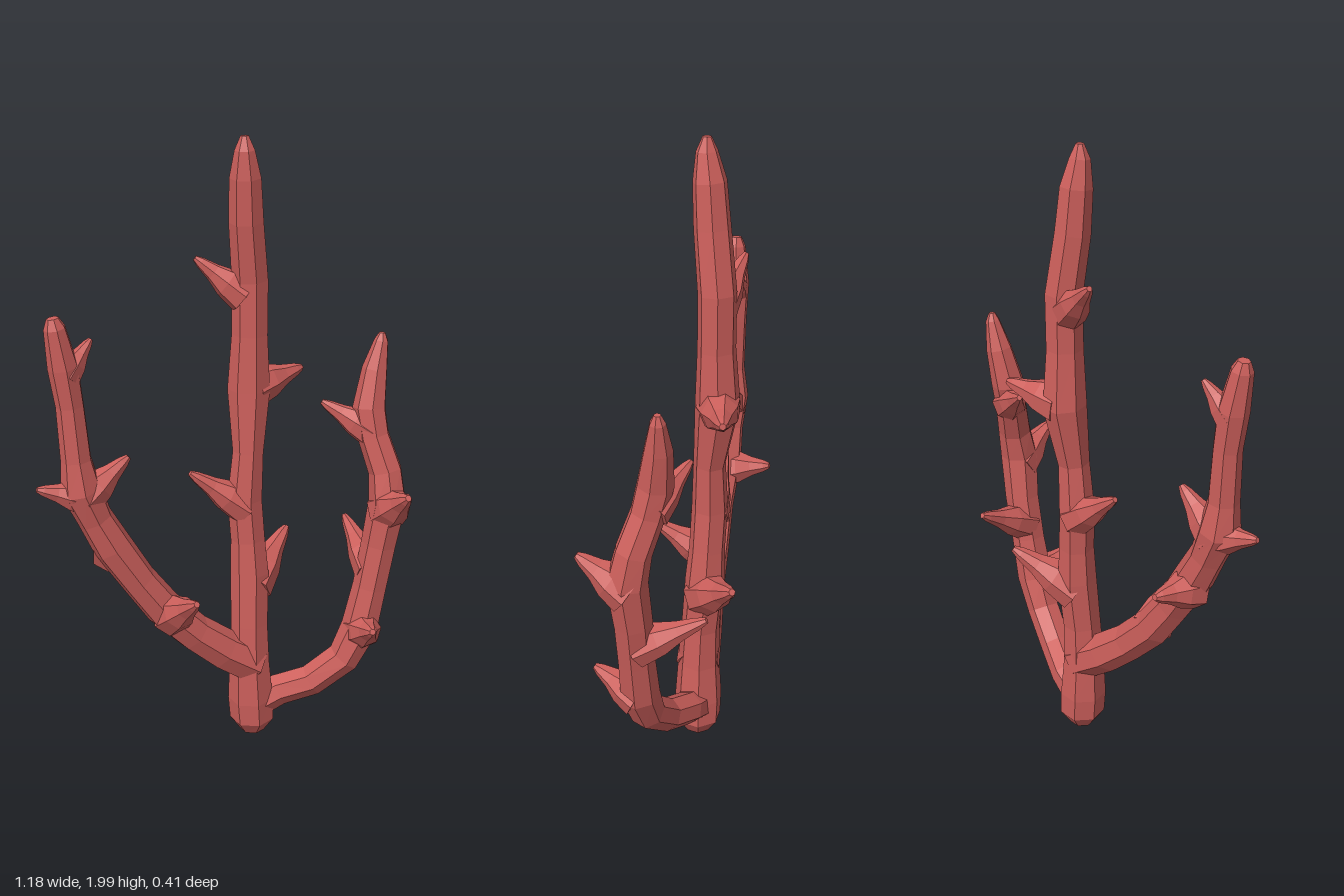
import * as THREE from 'three';

const SIDES = 7;

// Closed faceted tube through stations [x, y, z, radius]
function limbGeometry(stations) {
  const pts = stations.map(([x, y, z]) => new THREE.Vector3(x, y, z));
  const n = pts.length;
  const pos = [], idx = [];
  let u = null;
  for (let i = 0; i < n; i++) {
    const t = pts[Math.min(i + 1, n - 1)].clone().sub(pts[Math.max(i - 1, 0)]).normalize();
    if (!u) u = Math.abs(t.z) < 0.8 ? new THREE.Vector3(0, 0, 1) : new THREE.Vector3(1, 0, 0);
    u = u.clone().addScaledVector(t, -u.dot(t)).normalize();
    const v = t.clone().cross(u);
    for (let s = 0; s < SIDES; s++) {
      const a = (s / SIDES) * Math.PI * 2;
      const r = stations[i][3] * 1.04;
      const p = pts[i].clone().addScaledVector(u, Math.cos(a) * r).addScaledVector(v, Math.sin(a) * r);
      pos.push(p.x, p.y, p.z);
    }
  }
  for (let i = 0; i < n - 1; i++) {
    for (let s = 0; s < SIDES; s++) {
      const a = i * SIDES + s, b = i * SIDES + ((s + 1) % SIDES);
      idx.push(a, b, b + SIDES, a, b + SIDES, a + SIDES);
    }
  }
  // end caps
  const last = (n - 1) * SIDES;
  for (let s = 1; s < SIDES - 1; s++) {
    idx.push(0, s + 1, s, last, last + s, last + s + 1);
  }
  const g = new THREE.BufferGeometry();
  g.setAttribute('position', new THREE.Float32BufferAttribute(pos, 3));
  g.setIndex(idx);
  const flat = g.toNonIndexed();
  flat.computeVertexNormals();
  return flat;
}

// Thorn-like twig: flared at the root, narrowing to a blunt tip
function twigStations(root, tip, radius) {
  const profile = [[0, 1], [0.35, 0.82], [0.62, 0.5], [0.88, 0.3], [1, 0.15]];
  return profile.map(([t, k]) => [
    ...root.map((c, i) => c + (tip[i] - c) * t),
    radius * k,
  ]);
}

const BRANCHES = {
  trunk: {
    path: [
      [0.11, 0.01, -0.06, 0.04], [0.11, 0.06, -0.06, 0.073], [0.105, 0.14, -0.06, 0.075],
      [0.1, 0.28, -0.06, 0.066], [0.1, 0.42, -0.065, 0.06], [0.105, 0.6, -0.08, 0.062],
      [0.1, 0.72, -0.085, 0.055], [0.09, 0.86, -0.09, 0.055], [0.1, 1.02, -0.09, 0.048],
      [0.11, 1.22, -0.115, 0.066], [0.11, 1.4, -0.11, 0.055], [0.11, 1.57, -0.11, 0.055],
      [0.09, 1.75, -0.09, 0.052], [0.083, 1.88, -0.08, 0.047], [0.077, 1.96, -0.07, 0.03],
      [0.076, 2.0, -0.07, 0.012],
    ],
    twigs: [
      [[0.09, 1.52, -0.11], [-0.05, 1.635, -0.16], 0.055],
      [[0.12, 1.22, -0.12], [0.305, 1.255, -0.17], 0.065],
      [[0.09, 0.83, -0.09], [-0.09, 0.965, -0.1], 0.06],
      [[0.11, 0.55, -0.08], [0.275, 0.685, -0.2], 0.07],
    ],
  },
  rightBranch: {
    path: [
      [0.11, 0.27, -0.06, 0.07], [0, 0.345, -0.05, 0.066], [-0.1, 0.43, -0.04, 0.06],
      [-0.2, 0.535, -0.035, 0.06], [-0.28, 0.65, -0.035, 0.056], [-0.36, 0.78, -0.04, 0.06],
      [-0.41, 0.88, -0.04, 0.054], [-0.45, 0.98, -0.04, 0.062], [-0.46, 1.08, -0.04, 0.046],
      [-0.47, 1.25, -0.045, 0.042], [-0.485, 1.37, -0.045, 0.045], [-0.505, 1.49, -0.04, 0.032],
      [-0.51, 1.52, -0.04, 0.018],
    ],
    twigs: [
      [[-0.43, 0.95, -0.04], [-0.585, 1.0, -0.035], 0.055],
      [[-0.44, 0.95, -0.04], [-0.3, 1.07, -0.04], 0.06],
      [[-0.18, 0.51, -0.03], [-0.145, 0.635, 0.15], 0.065],
      [[-0.36, 0.75, -0.04], [-0.35, 0.78, -0.2], 0.065],
      [[-0.48, 1.34, -0.045], [-0.395, 1.44, -0.07], 0.045],
    ],
  },
  leftBranch: {
    path: [
      [0.1, 0.11, -0.06, 0.06], [0.2, 0.155, -0.045, 0.052], [0.3, 0.2, 0, 0.052],
      [0.4, 0.29, 0.035, 0.054], [0.45, 0.4, 0.045, 0.06], [0.48, 0.55, 0.045, 0.055],
      [0.505, 0.7, 0.045, 0.056], [0.525, 0.85, 0.055, 0.06], [0.52, 0.95, 0.035, 0.053],
      [0.49, 1.06, 0, 0.05], [0.48, 1.15, -0.02, 0.052], [0.5, 1.27, -0.035, 0.04],
      [0.52, 1.36, -0.04, 0.022], [0.522, 1.385, -0.04, 0.01],
    ],
    twigs: [
      [[0.49, 1.07, -0.01], [0.345, 1.16, -0.09], 0.055],
      [[0.525, 0.82, 0.05], [0.525, 0.92, 0.2], 0.068],
      [[0.455, 0.39, 0.045], [0.43, 0.46, 0.19], 0.065],
      [[0.49, 0.6, 0.04], [0.47, 0.715, -0.165], 0.06],
    ],
  },
};

export function createModel() {
  const coral = new THREE.MeshStandardMaterial({ color: 0xcc5f5b });
  coral.name = 'coralRed';
  const model = new THREE.Group();
  model.name = 'branchingCoral';

  // each limb with its own twigs
  for (const [name, { path, twigs }] of Object.entries(BRANCHES)) {
    const group = new THREE.Group();
    group.name = name;
    const limb = new THREE.Mesh(limbGeometry(path), coral);
    limb.name = `${name}Stem`;
    group.add(limb);
    twigs.forEach(([root, tip, radius], i) => {
      const twig = new THREE.Mesh(limbGeometry(twigStations(root, tip, radius)), coral);
      twig.name = `${name}Twig${i + 1}`;
      group.add(twig);
    });
    model.add(group);
  }
  return model;
}
